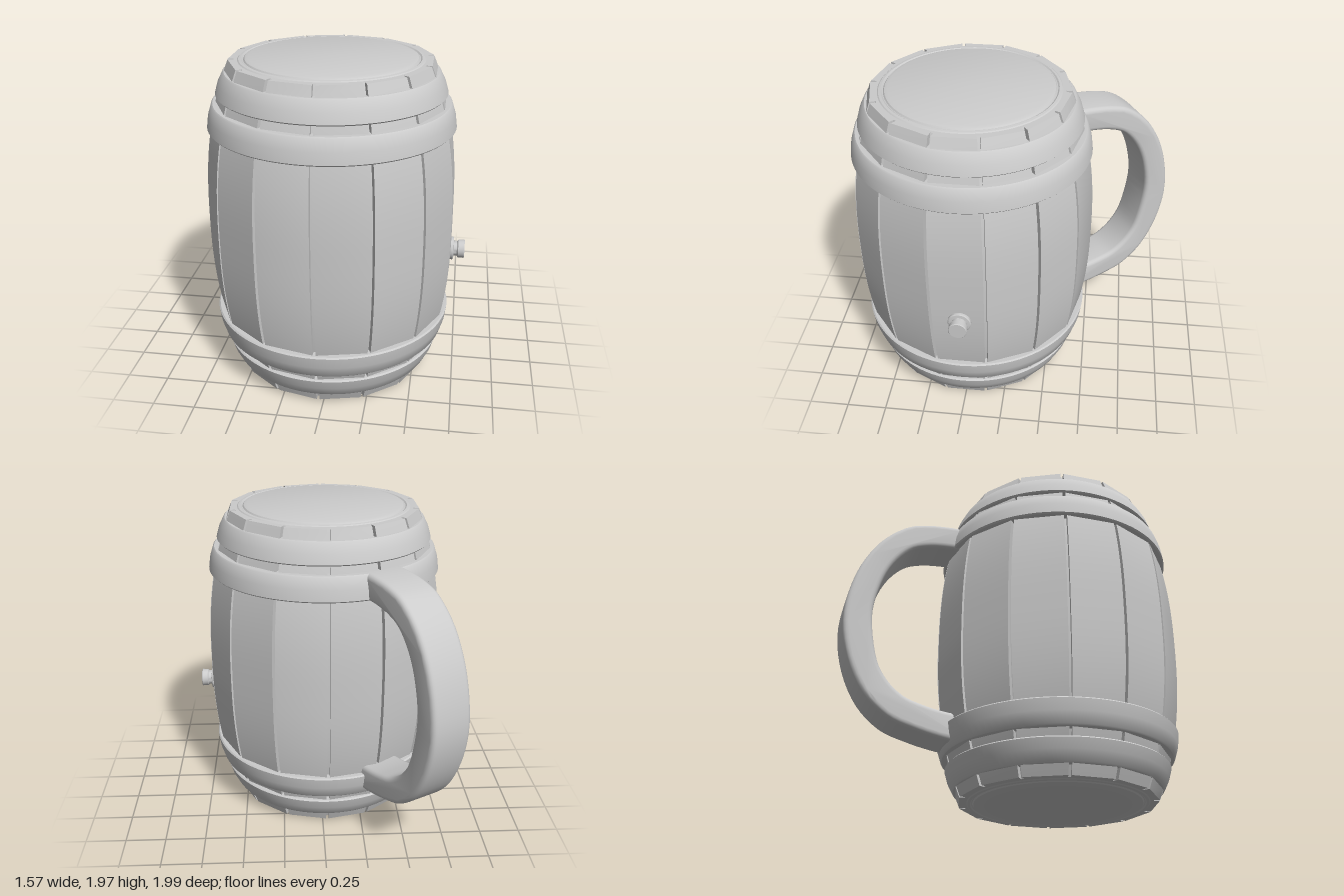
import * as THREE from 'three';
import { toCreasedNormals } from 'three/addons/utils/BufferGeometryUtils.js';

const STAVES = 14, MID = 0.9825, HALF = 0.967;
const material = new THREE.MeshStandardMaterial({ color: 0xcccccc });

function add(parent, name, geometry, crease = 0.5) {
  const mesh = new THREE.Mesh(toCreasedNormals(geometry, crease), material);
  mesh.name = name;
  parent.add(mesh);
  return mesh;
}

const lathe = (points, segments = 72) =>
  new THREE.LatheGeometry(points.map(p => new THREE.Vector2(...p)), segments);

// Flat staves: a notched polygon swept up the bulging barrel profile
function staveGeometry() {
  const rings = 32, n = STAVES * 4, gap = 0.009, depth = 0.035;
  const positions = [], index = [];
  for (let j = 0; j <= rings; j++) {
    const t = (j / rings) * 2 - 1;
    const r = 0.75 - 0.16 * Math.abs(t) ** 2.5;
    for (let k = 0; k < STAVES; k++) {
      const a = (k / STAVES) * Math.PI * 2, g = gap / r;
      for (const [rad, ang] of [[r, a - g], [r - depth, a - g], [r - depth, a + g], [r, a + g]]) {
        positions.push(Math.sin(ang) * rad, MID + t * HALF, Math.cos(ang) * rad);
      }
    }
  }
  for (let j = 0; j < rings; j++) {
    for (let i = 0; i < n; i++) {
      const a = j * n + i, b = j * n + (i + 1) % n;
      index.push(a, b, b + n, a, b + n, a + n);
    }
  }
  // End faces
  const bottom = positions.length / 3, top = bottom + 1, last = rings * n;
  positions.push(0, MID - HALF, 0, 0, MID + HALF, 0);
  for (let i = 0; i < n; i++) {
    const next = (i + 1) % n;
    index.push(bottom, next, i, top, last + i, last + next);
  }
  const geometry = new THREE.BufferGeometry();
  geometry.setAttribute('position', new THREE.Float32BufferAttribute(positions, 3));
  geometry.setIndex(index);
  return geometry;
}

// Hoop with softened edges; heights are measured from the barrel's middle
function hoopGeometry(y0, r0, y1, r1) {
  const e = 0.008;
  return lathe([
    [r0 - 0.07, y0], [r0 - e, y0], [r0, y0 + e],
    [(r0 + r1) / 2 + 0.006, (y0 + y1) / 2],
    [r1, y1 - e], [r1 - e, y1], [r1 - 0.07, y1],
  ], 96);
}

// D-shaped handle outline in radius and height
function handleGeometry() {
  const vec = p => new THREE.Vector2(...p);
  const outer = [[0.6, 1.71], [0.74, 1.71], [0.9, 1.69], [1.03, 1.64], [1.18, 1.5], [1.295, 1.28],
    [1.35, 1.0], [1.317, 0.75], [1.215, 0.53], [1.067, 0.39], [0.9, 0.33], [0.74, 0.295], [0.6, 0.28]];
  const inner = [[0.6, 0.45], [0.75, 0.465], [0.87, 0.49], [0.98, 0.53], [1.08, 0.62], [1.145, 0.75],
    [1.185, 1.0], [1.155, 1.2], [1.09, 1.36], [0.99, 1.48], [0.88, 1.53], [0.75, 1.55], [0.6, 1.555]];
  const shape = new THREE.Shape();
  shape.moveTo(...outer[0]);
  shape.splineThru(outer.slice(1).map(vec));
  shape.lineTo(...inner[0]);
  shape.splineThru(inner.slice(1).map(vec));
  const bevel = 0.03, width = 0.265;
  return new THREE.ExtrudeGeometry(shape, {
    depth: width - 2 * bevel, curveSegments: 4, bevelEnabled: true, bevelSegments: 4,
    bevelSize: bevel, bevelThickness: bevel, bevelOffset: -bevel,
  }).translate(0, 0, bevel - width / 2);
}

export function createModel() {
  const model = new THREE.Group();
  model.name = 'barrelMug';
  const barrel = new THREE.Group();
  barrel.name = 'barrel';
  barrel.position.set(-0.03, 0, 0.25);
  model.add(barrel);

  add(barrel, 'staves', staveGeometry());

  // Each end carries two hoops and a round head
  for (const [side, turn] of [['upper', 0], ['lower', Math.PI]]) {
    const end = new THREE.Group();
    end.name = side + 'End';
    end.position.y = MID;
    end.rotation.x = turn;
    barrel.add(end);
    add(end, side + 'InnerHoop', hoopGeometry(0.578, 0.727, 0.727, 0.697));
    add(end, side + 'OuterHoop', hoopGeometry(0.775, 0.67, 0.907, 0.624));
    add(end, side + 'Head', lathe([
      [0.545, 0.96], [0.53, 0.972], [0.515, 0.974], [0.507, 0.968],
      [0.502, 0.968], [0.495, 0.976], [0.475, 0.982], [0, 0.9825],
    ]));
  }

  // Handle reaches out to the back right
  add(barrel, 'handle', handleGeometry(), 0.6).rotation.y = Math.PI / 2 + 0.5;

  // Small plug on the left wall
  const plug = add(model, 'plug', lathe([
    [0.07, -0.04], [0.07, 0.015], [0.065, 0.02], [0.046, 0.022],
    [0.046, 0.04], [0.055, 0.048], [0.056, 0.082], [0.052, 0.086], [0, 0.086],
  ], 32));
  plug.position.set(0.7, 0.78, 0.24);
  plug.rotation.z = -Math.PI / 2;

  return model;
}
